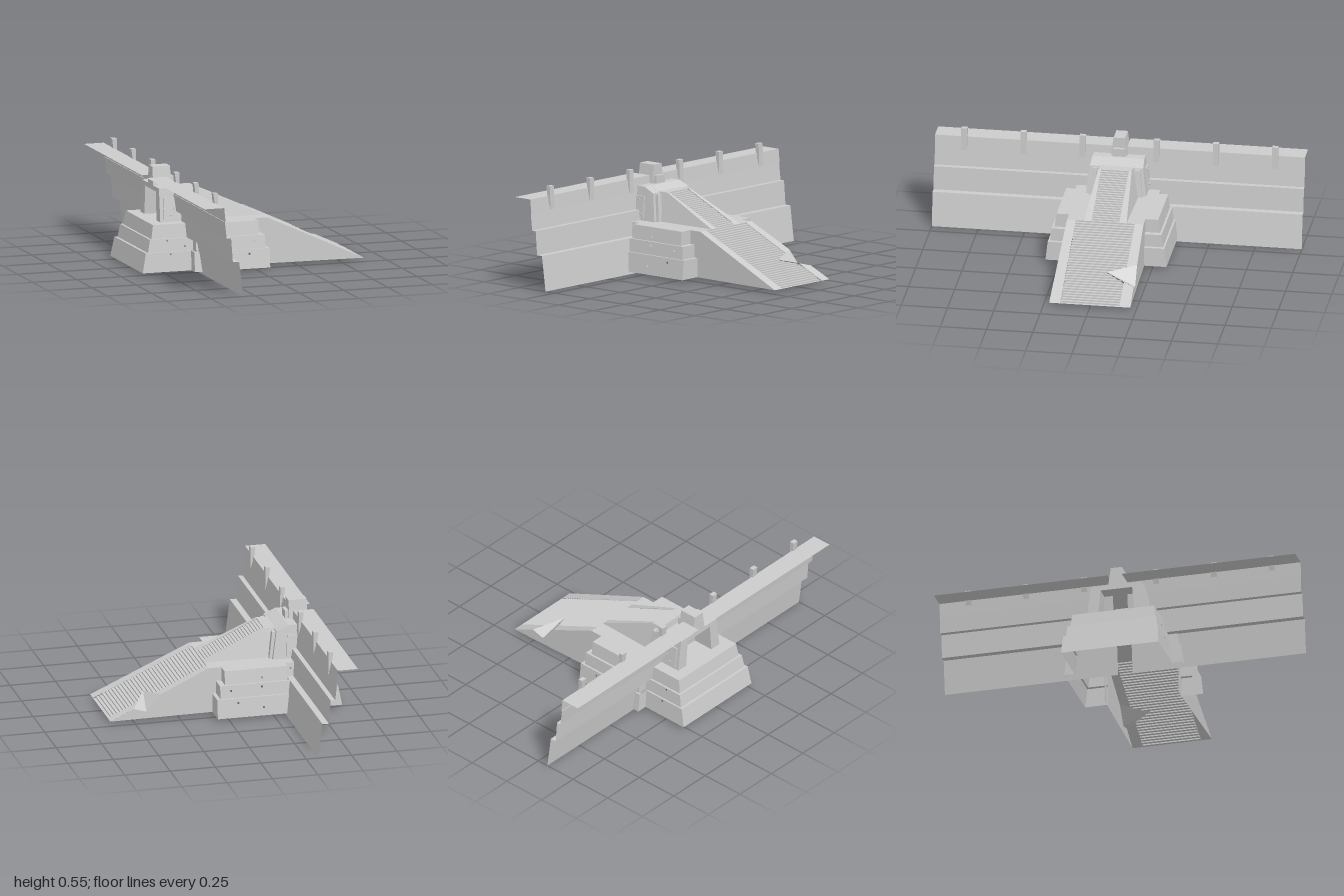
import * as THREE from 'three';

const material = new THREE.MeshStandardMaterial({ color: 0xcccccc, flatShading: true, side: THREE.DoubleSide });

// ramp line and its slightly flaring half width
const rampY = (x) => 0.42 - 0.46 * (x + 0.25);
const rampHalf = (x) => 0.205 + 0.023 * x;

export function createModel() {
  const group = new THREE.Group();

  const add = (name, geometry) => {
    geometry.computeVertexNormals();
    const mesh = new THREE.Mesh(geometry, material);
    mesh.name = name;
    group.add(mesh);
    return mesh;
  };

  // polygons with corners [x, y, z], each split as a fan
  const faces = (name, polygons) => {
    const positions = [];
    for (const p of polygons) {
      for (let i = 1; i < p.length - 1; i++) positions.push(...p[0], ...p[i], ...p[i + 1]);
    }
    const geometry = new THREE.BufferGeometry();
    geometry.setAttribute('position', new THREE.Float32BufferAttribute(positions, 3));
    return add(name, geometry);
  };

  // an xy line swept along z; the limits may depend on x
  const strip = (name, line, z0, z1) => {
    const polygons = [];
    for (let i = 0; i < line.length - 1; i++) {
      const [a, b] = [line[i], line[i + 1]];
      polygons.push([[...a, z0(a[0])], [...b, z0(b[0])], [...b, z1(b[0])], [...a, z1(a[0])]]);
    }
    return faces(name, polygons);
  };

  const shapeOf = (points) => new THREE.Shape(points.map(([x, y]) => new THREE.Vector2(x, y)));

  // flat xy panel with small round holes, leaned by a z rule
  const panel = (name, points, holes, zRule) => {
    const shape = shapeOf(points);
    for (const [x, y] of holes) {
      const hole = new THREE.Path();
      hole.absarc(x, y, 0.006, 0, Math.PI * 2, true);
      shape.holes.push(hole);
    }
    const geometry = new THREE.ShapeGeometry(shape, 4);
    const p = geometry.attributes.position;
    for (let i = 0; i < p.count; i++) p.setZ(i, zRule(p.getX(i), p.getY(i)));
    return add(name, geometry);
  };

  // solid xy profile between two depths, narrowing towards the top
  const block = (name, points, z0, z1, taper = 0.78) => {
    const geometry = new THREE.ExtrudeGeometry(shapeOf(points), { depth: z1 - z0, bevelEnabled: false });
    geometry.translate(0, 0, z0);
    const p = geometry.attributes.position;
    for (let i = 0; i < p.count; i++) p.setZ(i, p.getZ(i) * (1 - taper * (p.getY(i) - 0.265)));
    return add(name, geometry);
  };

  // Stepped curtain wall with an overhanging top ledge, and its battlements
  const wallLine = [[-0.315, 0], [-0.34, 0.19], [-0.375, 0.19], [-0.385, 0.32],
    [-0.41, 0.32], [-0.42, 0.41], [-0.416, 0.41], [-0.424, 0.487], [-0.535, 0.487]];
  const merlon = [[-0.436, 0.54], [-0.41, 0.54], [-0.408, 0.415], [-0.43, 0.49]];
  for (const s of [1, -1]) {
    strip('curtainWall', wallLine, () => s * 0.04, () => s);
    for (const z of [0.2, 0.52, 0.84]) block('merlon', merlon, s * z - 0.016, s * z + 0.016, 0);
  }

  // Three battered tiers of the front bastion and the rear buttress
  const tiers = [
    { y0: 0.015, y1: 0.12, front: 0.065, seam: -0.36, zf: [0.327, 0.315], xb: [-0.635, -0.615], zb: [0.27, 0.262],
      bastionHoles: [[-0.19, 0.06], [-0.05, 0.095]], rearHoles: [[-0.475, 0.108]] },
    { y0: 0.12, y1: 0.19, front: 0.045, seam: -0.345, zf: [0.305, 0.297], xb: [-0.6, -0.587], zb: [0.253, 0.246],
      bastionHoles: [[-0.185, 0.17], [-0.015, 0.16]], rearHoles: [[-0.49, 0.18], [-0.39, 0.145]] },
    { y0: 0.19, y1: 0.265, front: 0.015, seam: -0.33, zf: [0.285, 0.275], xb: [-0.575, -0.563], zb: [0.235, 0.226],
      bastionHoles: [[-0.19, 0.215]], rearHoles: [[-0.36, 0.235]] },
  ];
  const lean = (t, [low, high], y) => THREE.MathUtils.mapLinear(y, t.y0, t.y1, low, high);
  tiers.forEach((t, i) => {
    const { y0, y1, front, seam, zf, xb, zb } = t;
    const next = tiers[i + 1];
    for (const s of [1, -1]) {
      panel('bastionSide', [[seam, y0], [front, y0], [front, y1], [seam, y1]], t.bastionHoles,
        (x, y) => s * lean(t, zf, y));
      panel('buttressSide', [[xb[0], y0], [seam + 0.03, y0], [seam + 0.03, y1], [xb[1], y1]], t.rearHoles,
        (x, y) => s * lean(t, zb, y));
      faces('bastionFront', [
        [[front, y0, s * zf[0]], [front, y0, s * 0.2], [front, y1, s * 0.2], [front, y1, s * zf[1]]],
        [[seam, y0, s * zf[0]], [seam, y0, s * zb[0]], [seam, y1, s * zb[1]], [seam, y1, s * zf[1]]],
      ]);
      if (!next) continue;
      const [nf, nz, nx, nb] = [next.front, next.zf[0], next.xb[0], next.zb[0]];
      faces('tierLedge', [
        [[seam, y1, s * zf[1]], [front, y1, s * zf[1]], [nf, y1, s * nz], [seam, y1, s * nz]],
        [[front, y1, s * zf[1]], [front, y1, s * 0.2], [nf, y1, s * 0.2], [nf, y1, s * nz]],
        [[xb[1], y1, s * zb[1]], [seam, y1, s * zb[1]], [seam, y1, s * nb], [nx, y1, s * nb]],
      ]);
    }
    faces('buttressBack', [[[xb[0], y0, zb[0]], [xb[0], y0, -zb[0]], [xb[1], y1, -zb[1]], [xb[1], y1, zb[1]]]]);
    if (next) {
      const [nx, nb] = [next.xb[0], next.zb[0]];
      faces('buttressBackLedge', [[[xb[1], y1, zb[1]], [xb[1], y1, -zb[1]], [nx, y1, -nb], [nx, y1, nb]]]);
    }
  });

  // Decks on top of the buttress and bastion
  const deck = (x0, x1, z) => [[x0, 0.265, -z], [x0, 0.265, z], [x1, 0.265, z], [x1, 0.265, -z]];
  faces('deck', [deck(-0.563, -0.33, 0.226), deck(-0.33, 0.015, 0.275), deck(0.015, 0.087, 0.207)]);

  // Stair treads cut just below the ramp line
  const stairs = (x0, x1, n) => {
    const line = [[x0, rampY(x0)]];
    for (let i = 0; i < n; i++) {
      const xa = x0 + ((x1 - x0) * i) / n;
      const xb = x0 + ((x1 - x0) * (i + 1)) / n;
      line.push([xa, rampY(xb)], [xb, rampY(xb)]);
    }
    return line;
  };

  // Lower ramp with plain borders; a broken notch bites into its -z edge
  const [xA, xC, xB, zC] = [0.35, 0.41, 0.5, -0.06];
  const notchEdge = (x) => {
    const t = x < xC ? (x - xA) / (xC - xA) : (xB - x) / (xB - xC);
    return Math.max(-0.16, THREE.MathUtils.lerp(-0.215, zC, Math.max(0, t)));
  };
  strip('lowerStairs', stairs(0.087, 0.63, 32), notchEdge, () => 0.16);
  const at = (x, z) => [x, rampY(x), z];
  const border = (x0, x1, s, i0 = x0, i1 = x1) =>
    [at(x0, s * rampHalf(x0)), at(x1, s * rampHalf(x1)), at(i1, s * 0.16), at(i0, s * 0.16)];
  faces('rampBorder', [border(0.087, 0.63, 1), border(0.087, xA, -1, 0.087, 0.371), border(xB, 0.63, -1, 0.468, 0.63)]);
  const D = [0.43, rampY(0.43) - 0.055, -rampHalf(0.43)];
  const [A, B, C] = [at(xA, -rampHalf(xA)), at(xB, -rampHalf(xB)), at(xC, zC)];
  faces('brokenNotch', [[A, C, D], [C, B, D]]);
  const foot = [[0.01, 0.015], [0.63, 0.015]];
  const head = [[0.087, 0.265], [0.01, 0.265]];
  panel('rampSide', [...foot, ...head], [], (x) => rampHalf(x));
  panel('rampSide', [...foot, B.slice(0, 2), D.slice(0, 2), A.slice(0, 2), ...head], [], (x) => -rampHalf(x));

  // Upper ramp: battered sides, narrow copings and stairs
  const topHalf = (x) => 0.115 - 0.16 * (rampY(x) - 0.265);
  strip('upperStairs', stairs(-0.25, 0.087, 22), () => -0.075, () => 0.075);
  for (const s of [1, -1]) {
    faces('upperRampSide', [
      [[-0.36, 0.265, s * 0.125], [0.087, 0.265, s * 0.115], at(-0.25, s * topHalf(-0.25)), [-0.36, 0.42, s * 0.09]],
      [at(-0.25, s * topHalf(-0.25)), at(0.087, s * 0.115), at(0.087, s * 0.075), at(-0.25, s * 0.075)],
    ]);
  }
  faces('stairLanding', [[[-0.5, 0.42, -0.09], [-0.5, 0.42, 0.09], [-0.25, 0.42, 0.09], [-0.25, 0.42, -0.09]]]);

  // Gatehouse: two side towers with studded side panels and slim front posts
  const tower = [[-0.5, 0.265], [-0.5, 0.445], [-0.37, 0.445], [-0.305, 0.416], [-0.28, 0.265]];
  const plate = [[-0.48, 0.28], [-0.355, 0.28], [-0.362, 0.395], [-0.48, 0.395]];
  const post = [[-0.3, 0.265], [-0.265, 0.265], [-0.285, 0.41], [-0.31, 0.41]];
  const studs = [[-0.395, 0.375], [-0.42, 0.335], [-0.44, 0.3], [-0.375, 0.3]];
  for (const s of [1, -1]) {
    const mirrored = (name, points, a, b) => block(name, points, Math.min(s * a, s * b), Math.max(s * a, s * b));
    mirrored('gateTower', tower, 0.1, 0.163);
    mirrored('towerPlate', plate, 0.15, 0.171);
    mirrored('gatePost', post, 0.115, 0.145);
    for (const [x, y] of studs) {
      const stud = add('plateStud', new THREE.CylinderGeometry(0.006, 0.006, 0.01, 8).rotateX(Math.PI / 2));
      stud.position.set(x, y, s * 0.171 * (1 - 0.78 * (y - 0.265)));
    }
  }

  // Roof slab and tapering crown block above the gate
  block('gateRoof', [[-0.5, 0.42], [-0.5, 0.445], [-0.37, 0.445], [-0.31, 0.42]], -0.11, 0.11);
  block('crownBlock', [[-0.5, 0.44], [-0.4, 0.44], [-0.4, 0.545], [-0.5, 0.545]], -0.07, 0.07, 2);
  block('crownLip', [[-0.4, 0.44], [-0.38, 0.44], [-0.38, 0.488], [-0.4, 0.488]], -0.055, 0.055, 2);

  return group;
}
